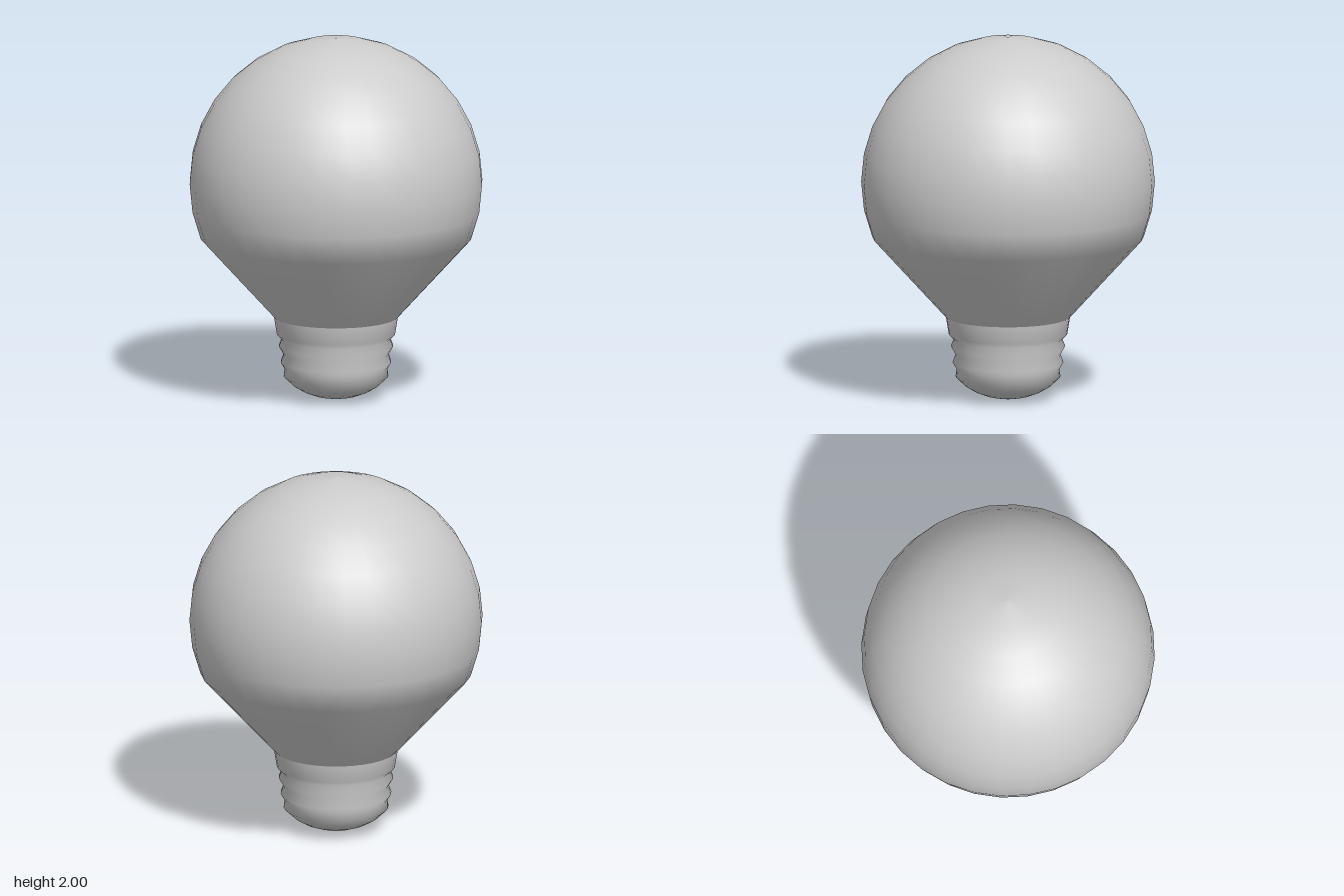
import * as THREE from 'three';

const SEGMENTS = 32;

// Smooth turned part from [radius, height] pairs, listed bottom to top
function turned(name, profile) {
  const points = profile.map(([r, y]) => new THREE.Vector2(r, y));
  const mesh = new THREE.Mesh(
    new THREE.LatheGeometry(points, SEGMENTS),
    new THREE.MeshStandardMaterial({ color: 0xcccccc, side: THREE.DoubleSide })
  );
  mesh.name = name;
  return mesh;
}

export function createModel() {
  const group = new THREE.Group();
  group.name = 'lightBulb';

  // Glass: straight conical neck running into a globe
  const radius = 0.8, centreY = 1.2, step = Math.PI / 16;
  const glass = [[0.34, 0.455]];
  for (let i = -2; i <= 8; i++) {
    const a = i * step;
    glass.push([i === 8 ? 0 : radius * Math.cos(a), centreY + radius * Math.sin(a)]);
  }
  group.add(turned('glassBulb', glass));

  // Screw base: rounded contact, threaded rings, collar
  group.add(turned('screwBase', [
    [0, 0], [0.06, 0.005], [0.12, 0.018], [0.18, 0.041], [0.23, 0.07], [0.286, 0.122],
    [0.28, 0.165], [0.302, 0.2], [0.286, 0.245], [0.312, 0.29],
    [0.296, 0.33], [0.323, 0.357], [0.339, 0.455],
  ]));

  // Flat seat closing the top of the base under the glass
  group.add(turned('baseRim', [[0.339, 0.455], [0, 0.455]]));
  return group;
}
